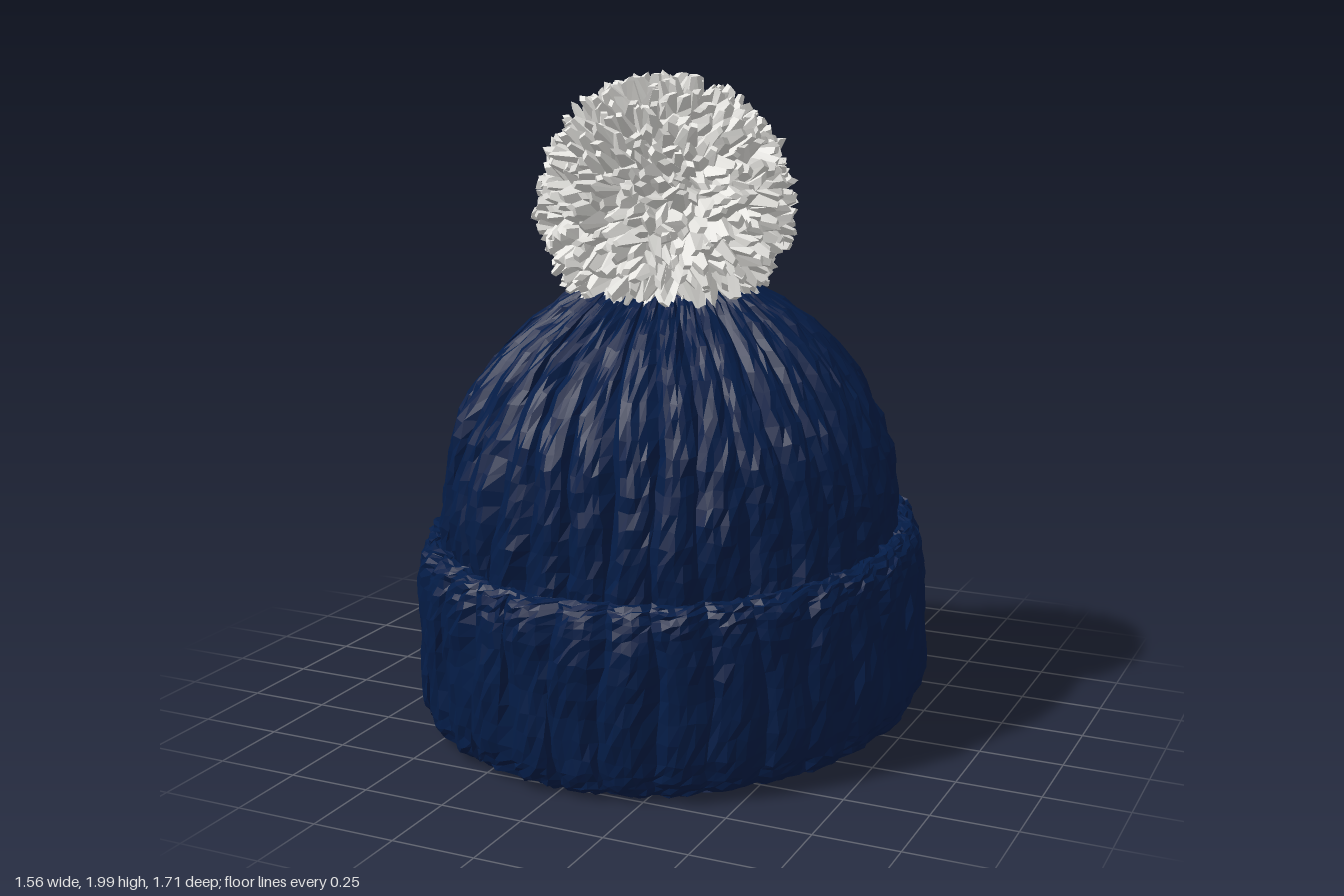
import * as THREE from 'three';
import { mergeGeometries } from 'three/addons/utils/BufferGeometryUtils.js';

const RIBS = 32, PER_RIB = 6, COLS = RIBS * PER_RIB;

// Seeded generator, values 0..1
function seeded(seed) {
  let s = seed;
  return () => {
    s = (s * 1664525 + 1013904223) >>> 0;
    return s / 4294967296;
  };
}

// Faceted copy of a geometry
function faceted(geometry) {
  const g = geometry.index ? geometry.toNonIndexed() : geometry;
  g.computeVertexNormals();
  return g;
}

// Ribbed knitted surface swept around y; profile points are [radius, height, rib depth]
function knitShell(profile, rows, roughness, depthScale, seed) {
  const rand = seeded(seed);
  const curve = new THREE.CatmullRomCurve3(
    profile.map(p => new THREE.Vector3(...p)), false, 'centripetal');
  const points = curve.getPoints(rows);
  const ribs = Array.from({ length: RIBS }, () => ({
    out: (rand() - 0.5) * 0.8, phase: rand() * 6.28,
  }));
  const positions = [], index = [];
  points.forEach((p, j) => {
    for (let i = 0; i < COLS; i++) {
      const rib = ribs[Math.floor(i / PER_RIB)];
      const across = (i % PER_RIB) / PER_RIB;
      const groove = 1 - Math.sqrt(Math.sin(across * Math.PI));
      const wander = Math.sin(p.y * 9 + rib.phase) * 0.02 + (rand() - 0.5) * 0.014;
      const a = (i / COLS) * Math.PI * 2 + wander;
      const lump = rib.out * (1 - groove) + 0.3 * Math.sin(p.y * 14 + rib.phase);
      const fade = Math.min(1, p.x / 0.35);
      const r = Math.max(0, p.x + fade * (p.z * (lump * 0.6 - groove) + (rand() - 0.5) * roughness));
      const y = p.y + (rand() - 0.5) * roughness * fade;
      positions.push(Math.sin(a) * r, y, Math.cos(a) * r * depthScale);
    }
  });
  for (let j = 0; j < rows; j++) {
    for (let i = 0; i < COLS; i++) {
      const k = (i + 1) % COLS;
      const a = j * COLS + i, b = j * COLS + k;
      index.push(a, b, b + COLS, a, b + COLS, a + COLS);
    }
  }
  const g = new THREE.BufferGeometry();
  g.setAttribute('position', new THREE.Float32BufferAttribute(positions, 3));
  g.setIndex(index);
  return faceted(g);
}

// Ball of broad, pointed yarn tufts
function tuftBall(count, radius) {
  const rand = seeded(77);
  const up = new THREE.Vector3(0, 1, 0);
  const core = new THREE.IcosahedronGeometry(radius * 0.8, 3);
  core.deleteAttribute('uv');
  const parts = [core];
  for (let i = 0; i < count; i++) {
    const y = 1 - (2 * (i + 0.5)) / count;
    const a = i * 2.399963;
    const s = Math.sqrt(1 - y * y);
    const dir = new THREE.Vector3(Math.cos(a) * s, y, Math.sin(a) * s);
    const length = 0.12 + rand() * 0.03;
    const tuft = new THREE.CylinderGeometry(0.014, 0.04 + rand() * 0.012, length, 4, 1);
    // Tip pushed aside and cut on a slant
    const pos = tuft.attributes.position;
    const slant = (rand() - 0.5) * 2;
    const shift = (rand() - 0.5) * 0.03;
    for (let v = 0; v < pos.count; v++) {
      if (pos.getY(v) > 0) {
        pos.setY(v, pos.getY(v) + pos.getX(v) * slant);
        pos.setX(v, pos.getX(v) + shift);
      }
    }
    tuft.scale(1.25, 1, 0.75);
    tuft.rotateY(rand() * Math.PI * 2);
    const lean = new THREE.Vector3(rand() - 0.5, rand() - 0.5, rand() - 0.5).multiplyScalar(0.8);
    tuft.applyQuaternion(new THREE.Quaternion().setFromUnitVectors(up, dir.clone().add(lean).normalize()));
    const reach = radius - length / 2 - rand() * 0.03;
    tuft.translate(dir.x * reach, dir.y * reach, dir.z * reach);
    const flat = tuft.toNonIndexed();
    flat.deleteAttribute('uv');
    parts.push(flat);
  }
  return faceted(mergeGeometries(parts));
}

export function createModel() {
  const navy = new THREE.MeshStandardMaterial({ color: 0x041c46 });
  const white = new THREE.MeshStandardMaterial({ color: 0xe6e5e1 });
  navy.name = 'navy wool';
  white.name = 'white yarn';

  const model = new THREE.Group();
  model.name = 'bobbleHat';
  // The hat leans slightly forward
  const hat = new THREE.Group();
  hat.name = 'hat';
  hat.rotation.x = 0.05;
  hat.position.set(0, 0.045, -0.015);
  model.add(hat);

  const add = (name, geometry, material) => {
    const mesh = new THREE.Mesh(geometry, material);
    mesh.name = name;
    hat.add(mesh);
    return mesh;
  };

  // Domed crown, from inside the cuff to the top
  add('crown', knitShell([
    [0.68, 0.4, 0.03], [0.697, 0.55, 0.035], [0.685, 0.74, 0.035], [0.625, 0.94, 0.035],
    [0.49, 1.13, 0.035], [0.3, 1.28, 0.03], [0.13, 1.36, 0.02], [0, 1.38, 0],
  ], 30, 0.014, 1.07, 11), navy).position.z = 0.008;

  // Turned-up cuff, from the inner lip round to the fold
  add('cuff', knitShell([
    [0.665, 0.1, 0.005], [0.675, 0.03, 0.012], [0.71, 0.002, 0.015], [0.755, 0.02, 0.02],
    [0.78, 0.09, 0.025], [0.78, 0.3, 0.026], [0.772, 0.47, 0.026], [0.752, 0.54, 0.024],
    [0.72, 0.56, 0.02], [0.685, 0.545, 0.015], [0.66, 0.48, 0.01],
  ], 36, 0.013, 1.085, 23), navy);

  // Smooth inside, from the top down to the lip
  add('lining', knitShell([
    [0, 1.32, 0], [0.28, 1.21, 0], [0.45, 1.06, 0.005], [0.565, 0.9, 0.005],
    [0.63, 0.7, 0.005], [0.655, 0.4, 0.005], [0.67, 0.06, 0.005],
  ], 16, 0.005, 1.075, 31), navy);

  // Pompom
  add('pompom', tuftBall(800, 0.4), white).position.y = 1.552;

  return model;
}
